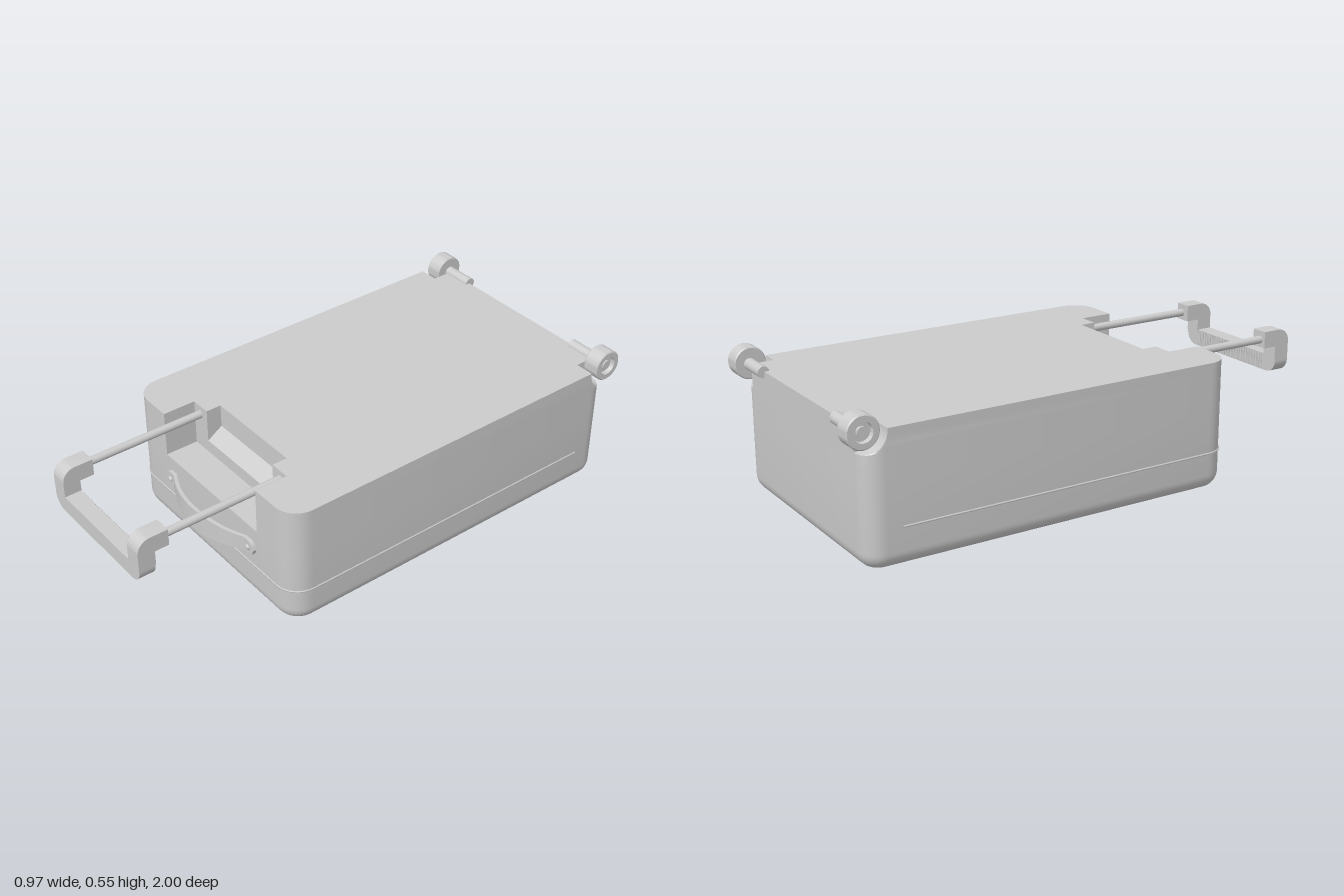
import * as THREE from 'three';
import { toCreasedNormals } from 'three/addons/utils/BufferGeometryUtils.js';

const material = new THREE.MeshStandardMaterial({ color: 0xcccccc });

function add(parent, name, geometry, x = 0, y = 0, z = 0) {
  const mesh = new THREE.Mesh(geometry, material);
  mesh.name = name;
  mesh.position.set(x, y, z);
  parent.add(mesh);
  return mesh;
}

const FRONT = 0.54, BACK = -0.94, HALF = 0.48, TOP = 0.49;
const ARC = 8, FRONT_R = 0.09, BACK_R = 0.075;

// One horizontal outline of the case: handle recess in front, wheel wells at the back corners.
function outline({ inset = 0, recess = FRONT - inset, pocket = recess, well = BACK }) {
  const half = [[0.2, pocket], [0.2, recess], [0.28, recess], [0.28, FRONT - inset]];
  const arc = (r, cz, start) => {
    for (let i = 0; i <= ARC; i++) {
      const a = start - (i / ARC) * Math.PI / 2;
      half.push([HALF - r + (r - inset) * Math.cos(a), Math.max(cz + (r - inset) * Math.sin(a), well)]);
    }
  };
  arc(FRONT_R, FRONT - FRONT_R, Math.PI / 2);
  arc(BACK_R, BACK + BACK_R, 0);
  half.push([HALF - BACK_R, BACK + inset]);
  return [...half, ...half.map(([x, z]) => [-x, z]).reverse()];
}

function caseGeometry() {
  const rows = [];
  // rounded bottom edge
  for (let i = 0; i <= 8; i++) {
    const a = (i / 8) * Math.PI / 2;
    rows.push({ y: 0.06 * (1 - Math.cos(a)), inset: 0.055 * (1 - Math.sin(a)) });
  }
  // recess floor, its back wall and the sloped pocket
  rows.push({ y: 0.31 }, { y: 0.31, recess: 0.41 }, { y: 0.36, recess: 0.41 });
  rows.push({ y: 0.4, recess: 0.41, pocket: 0.35 });
  // round wheel wells
  for (let i = 0; i <= 10; i++) {
    const a = (i / 10) * Math.PI / 2;
    rows.push({ y: 0.487 - 0.085 * Math.cos(a), recess: 0.41, pocket: 0.35, well: BACK + 0.085 * Math.sin(a) });
  }
  rows.push({ y: TOP, recess: 0.41, pocket: 0.35, well: BACK + 0.085 });

  const loops = rows.map(outline), n = loops[0].length;
  const positions = [], index = [];
  loops.forEach((loop, k) => loop.forEach(([x, z]) => positions.push(x, rows[k].y, z)));
  for (let k = 0; k < loops.length - 1; k++) {
    for (let i = 0; i < n; i++) {
      const j = (i + 1) % n, a = k * n, b = a + n;
      index.push(a + i, a + j, b + j, a + i, b + j, b + i);
    }
  }
  const cap = (k, flip) => {
    const contour = loops[k].map(([x, z]) => new THREE.Vector2(x, -z));
    for (const [a, b, c] of THREE.ShapeUtils.triangulateShape(contour, [])) {
      index.push(k * n + a, k * n + (flip ? c : b), k * n + (flip ? b : c));
    }
  };
  cap(0, true);
  cap(loops.length - 1, false);
  const g = new THREE.BufferGeometry();
  g.setAttribute('position', new THREE.Float32BufferAttribute(positions, 3));
  g.setIndex(index);
  return toCreasedNormals(g, 0.5);
}

// Thin seam bead along the sides and around the front.
function seamGeometry() {
  const pts = [new THREE.Vector3(HALF, 0, -0.81), new THREE.Vector3(HALF, 0, -0.2)];
  for (let i = 0; i <= ARC; i++) {
    const a = (i / ARC) * Math.PI / 2;
    pts.push(new THREE.Vector3(HALF - FRONT_R + FRONT_R * Math.cos(a), 0, FRONT - FRONT_R + FRONT_R * Math.sin(a)));
  }
  const all = [...pts, ...pts.map(p => new THREE.Vector3(-p.x, 0, p.z)).reverse()];
  const path = new THREE.CurvePath();
  for (let i = 0; i < all.length - 1; i++) path.add(new THREE.LineCurve3(all[i], all[i + 1]));
  return new THREE.TubeGeometry(path, 240, 0.004, 6);
}

// Carry strap: a box narrowed to rounded ends and bowed outward.
function strapGeometry() {
  const g = new THREE.BoxGeometry(0.55, 2, 0.014, 80, 1, 1);
  const p = g.attributes.position;
  for (let i = 0; i < p.count; i++) {
    const x = p.getX(i), ax = Math.abs(x);
    const h = ax > 0.245
      ? Math.sqrt(Math.max(0, 0.03 ** 2 - (ax - 0.245) ** 2))
      : 0.0375 + 0.0075 * Math.cos((ax / 0.245) * Math.PI);
    const bow = ax < 0.22 ? 0.062 * (1 - (ax / 0.22) ** 2) : 0;
    p.setY(i, p.getY(i) * h);
    p.setZ(i, p.getZ(i) + bow);
  }
  return toCreasedNormals(g, 0.6);
}

function pullHandle() {
  const group = new THREE.Group();
  group.name = 'pullHandle';
  // side profile of an elbow, drawn as (z, y)
  const elbow = new THREE.Shape();
  elbow.moveTo(0.88, 0.425);
  elbow.lineTo(0.935, 0.425);
  elbow.lineTo(0.935, 0.37);
  elbow.lineTo(1, 0.37);
  elbow.lineTo(1, 0.44);
  elbow.absarc(0.95, 0.44, 0.05, 0, Math.PI / 2, false);
  elbow.lineTo(0.88, 0.49);
  const elbowGeometry = toCreasedNormals(
    new THREE.ExtrudeGeometry(elbow, { depth: 0.065, bevelEnabled: false, curveSegments: 10 }), 0.5);
  for (const s of [-1, 1]) {
    const rod = add(group, 'handleRod', new THREE.CylinderGeometry(0.015, 0.015, 0.5, 20), s * 0.243, 0.455, 0.65);
    rod.rotation.x = Math.PI / 2;
    const corner = add(group, 'handleElbow', elbowGeometry, s * 0.2375 + 0.0325);
    corner.rotation.y = -Math.PI / 2;
  }
  // grip bar with rounded lower corners
  const bar = new THREE.Shape();
  bar.moveTo(-0.27, 0.382);
  bar.lineTo(-0.27, 0.365);
  bar.absarc(-0.22, 0.365, 0.05, Math.PI, Math.PI * 1.5, false);
  bar.absarc(0.22, 0.365, 0.05, Math.PI * 1.5, Math.PI * 2, false);
  bar.lineTo(0.27, 0.382);
  add(group, 'gripBar', toCreasedNormals(
    new THREE.ExtrudeGeometry(bar, { depth: 0.062, bevelEnabled: false, curveSegments: 10 }), 0.5), 0, 0, 0.938);
  const rib = new THREE.CylinderGeometry(0.005, 0.005, 0.064, 8);
  for (let i = 0; i < 26; i++) add(group, 'gripRib', rib, -0.19 + i * 0.0152, 0.349, 0.938);
  return group;
}

// Wheel profile (radius, along axle) with a recessed hub on the outer side.
function wheelGeometry() {
  const profile = [
    [0, -0.033], [0.056, -0.033], [0.06, -0.029], [0.06, 0.029], [0.056, 0.033], [0.036, 0.033],
    [0.034, 0.015], [0.018, 0.015], [0.018, 0.027], [0, 0.027],
  ].map(([r, h]) => new THREE.Vector2(r, h));
  return toCreasedNormals(new THREE.LatheGeometry(profile, 40), 0.5);
}

export function createModel() {
  const model = new THREE.Group();
  model.name = 'suitcase';
  add(model, 'caseBody', caseGeometry());
  add(model, 'seam', seamGeometry(), 0, 0.145, 0);
  model.add(pullHandle());

  // carry handle with rivets
  add(model, 'carryStrap', strapGeometry(), 0, 0.227, 0.548);
  for (const s of [-1, 1]) {
    const rivet = add(model, 'strapRivet', new THREE.SphereGeometry(0.011, 16, 10), s * 0.243, 0.227, 0.556);
    rivet.scale.z = 0.6;
  }

  // wheels and axle stubs
  for (const s of [-1, 1]) {
    const wheel = add(model, 'wheel', wheelGeometry(), s * 0.447, 0.49, -0.94);
    wheel.rotation.z = -s * Math.PI / 2;
    const axle = add(model, 'axle', new THREE.CylinderGeometry(0.022, 0.022, 0.13, 24), s * 0.355, 0.488, -0.943);
    axle.rotation.z = Math.PI / 2;
  }
  return model;
}
